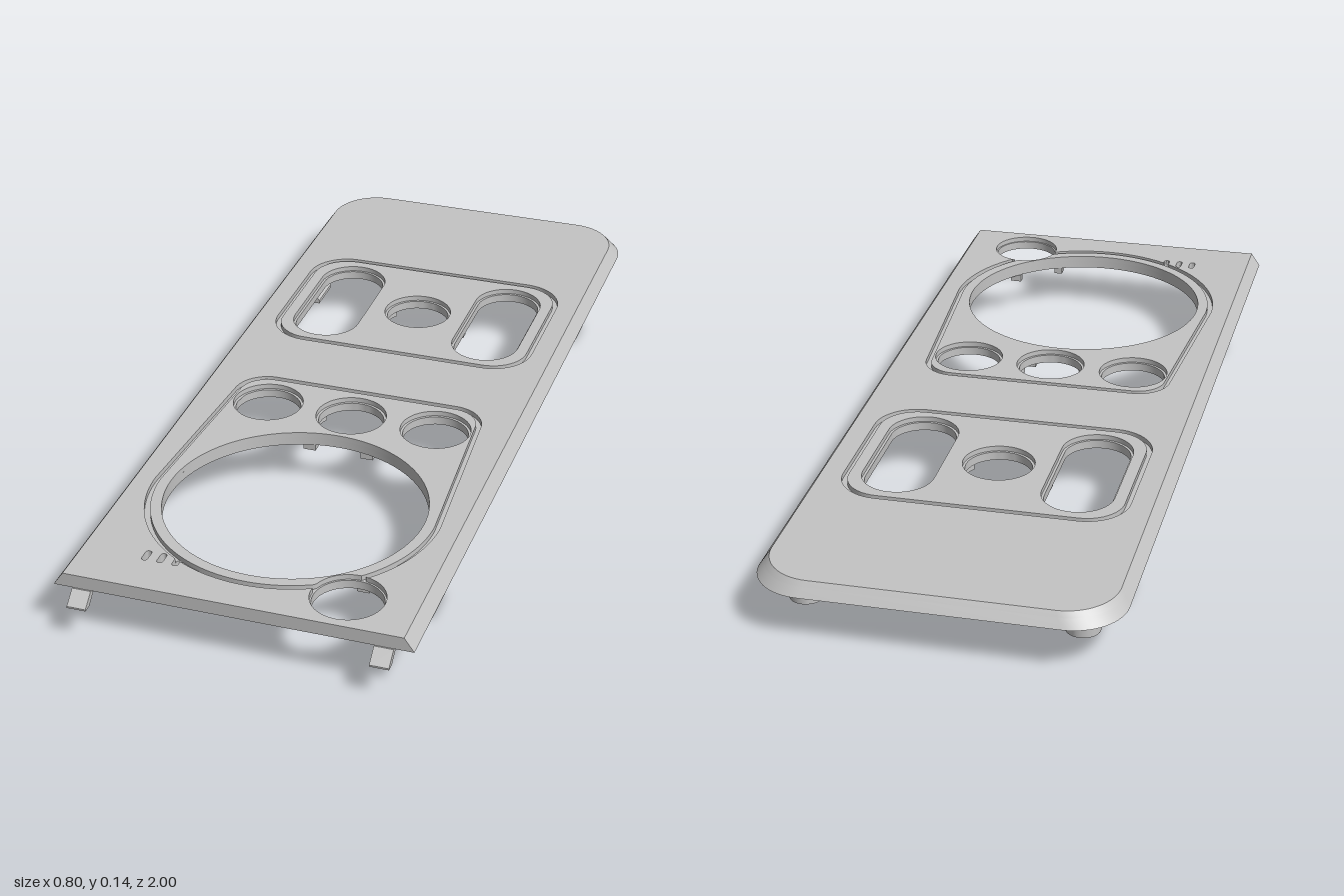
import * as THREE from 'three';
import { toCreasedNormals } from 'three/addons/utils/BufferGeometryUtils.js';

const Y0 = 0.11, Y1 = 0.13, Y2 = 0.142; // underside, groove floor, top face

// Points on an arc in plan (x, z), angle measured from +x towards +z
function arc(cx, cz, r, a0, a1, n = 12) {
  const pts = [];
  for (let i = 0; i <= n; i++) {
    const a = a0 + (a1 - a0) * i / n;
    pts.push([cx + r * Math.cos(a), cz + r * Math.sin(a)]);
  }
  return pts;
}
const circle = (cx, cz, r, n = 48) => arc(cx, cz, r, 0, Math.PI * 2, n).slice(0, -1);

function roundRect(cx, cz, hx, hz, r, n = 12) {
  const H = Math.PI / 2;
  return [[1, 1], [-1, 1], [-1, -1], [1, -1]].flatMap(([sx, sz], i) =>
    arc(cx + sx * (hx - r), cz + sz * (hz - r), r, i * H, (i + 1) * H, n));
}

// Plan outline with holes, extruded upward from y0 to y1
function slab(outline, holes, y0, y1) {
  const vec = pts => pts.map(([x, z]) => new THREE.Vector2(x, -z));
  const rim = vec(outline);
  // A counter-clockwise rim makes the hole walls face into the holes
  if (THREE.ShapeUtils.isClockWise(rim)) rim.reverse();
  const shape = new THREE.Shape(rim);
  shape.holes = holes.map(h => new THREE.Path(vec(h)));
  const g = new THREE.ExtrudeGeometry(shape, { depth: y1 - y0, bevelEnabled: false });
  g.rotateX(-Math.PI / 2);
  g.translate(0, y0, 0);
  return g;
}

// Slope the two sides and the rounded back edge inward with height
function taper(g) {
  const p = g.attributes.position;
  for (let i = 0; i < p.count; i++) {
    const x = p.getX(i), z = p.getZ(i), t = (p.getY(i) - Y0) / (Y2 - Y0);
    if (Math.abs(x) > 0.35 || z < -0.7) p.setX(i, x * (1 - 0.055 * t));
    if (z < -0.7) p.setZ(i, z + 0.022 * t);
  }
  return g;
}

// Corner hole that interrupts the lower groove
const CORNER = [0.225, 0.862];
function bite(pts, r, outward) {
  const [cx, cz] = CORNER;
  const inside = pts.map(([x, z]) => Math.hypot(x - cx, z - cz) < r);
  const i = inside.indexOf(true), j = inside.lastIndexOf(true);
  const angle = ([x, z]) => Math.atan2(z - cz, x - cx);
  const a0 = angle(pts[i]);
  let a1 = angle(pts[j]);
  if (a1 < a0) a1 += Math.PI * 2;
  if (!outward) a1 -= Math.PI * 2;
  return [...pts.slice(0, i), ...arc(cx, cz, r, a0, a1, 28), ...pts.slice(j + 1)];
}

// Indicator slit that runs out of the lower groove
function notch(pts) {
  const i = pts.findIndex(([x, z]) => z > 0.8 && x < -0.158);
  const j = pts.findIndex(([x, z]) => z > 0.8 && x < -0.172);
  return [...pts.slice(0, i),
    [-0.158, 0.848], [-0.158, 0.862], [-0.162, 0.866], [-0.168, 0.866], [-0.172, 0.862], [-0.172, 0.841],
    ...pts.slice(j)];
}

// Rounded lower control panel, inset by d
function lowerOutline(d) {
  const P = Math.PI;
  return [
    ...arc(0, 0.553, 0.335 - d, 0, P, 96),
    ...arc(-0.225, 0.124, 0.08 - d, P, P * 1.5),
    ...arc(0.225, 0.124, 0.08 - d, P * 1.5, P * 2),
  ];
}
const upperOutline = d => roundRect(0, -0.377, 0.33 - d, 0.225 - d, 0.1 - d);

export function createModel() {
  const model = new THREE.Group();
  const grey = new THREE.MeshStandardMaterial({ color: 0xc4c4c4 });
  grey.name = 'grey';

  function add(name, geometry) {
    const mesh = new THREE.Mesh(toCreasedNormals(geometry, 0.5), grey);
    mesh.name = name;
    model.add(mesh);
    return mesh;
  }
  function box(name, x, y0, y1, z, w, d) {
    add(name, new THREE.BoxGeometry(w, y1 - y0, d)).position.set(x, (y0 + y1) / 2, z);
  }

  // Plate outline: square front, rounded back corners
  const plate = [
    [0.402, 0.965], [-0.402, 0.965],
    ...arc(-0.282, -0.88, 0.12, Math.PI, Math.PI * 1.5, 16),
    ...arc(0.282, -0.88, 0.12, Math.PI * 1.5, Math.PI * 2, 16),
  ];

  // Openings; s widens them in the top layer to leave a small lip
  const upperHoles = s => [
    ...[-1, 1].map(k => roundRect(k * 0.207, -0.376, 0.077 + s, 0.183 + s, 0.077 + s)),
    circle(0, -0.377, 0.077 + s),
  ];
  const lowerHoles = s => [
    ...[-0.207, 0, 0.207].map(x => circle(x, 0.16, 0.077 + s)),
    circle(0, 0.553, 0.297, 96),
  ];
  const slit = x => roundRect(x, 0.848, 0.007, 0.018, 0.0065, 4);

  // Base layer forms the groove floors
  add('basePlate', taper(slab(plate, [
    ...upperHoles(0), ...lowerHoles(0), circle(...CORNER, 0.078),
    slit(-0.235), slit(-0.2), slit(-0.165),
  ], Y0, Y1)));

  // Top layer: surround and two inlaid panels, separated by grooves
  const R = 0.082, GROOVE = 0.013, LIP = 0.006;
  add('topSurround', taper(slab(plate, [
    upperOutline(0), notch(bite(lowerOutline(0), R, true)), slit(-0.235), slit(-0.2),
  ], Y1, Y2)));
  add('upperPanel', slab(upperOutline(GROOVE), upperHoles(LIP), Y1, Y2));
  add('lowerPanel', slab(bite(lowerOutline(GROOVE), R, false), lowerHoles(LIP), Y1, Y2));

  // Profile in x, y extruded along z, centred on z
  function profileZ(name, pts, z, depth) {
    const g = new THREE.ExtrudeGeometry(
      new THREE.Shape(pts.map(p => new THREE.Vector2(...p))), { depth, bevelEnabled: false });
    g.translate(0, 0, z - depth / 2);
    add(name, g);
  }

  for (const s of [-1, 1]) {
    // Side clips with inward hooks
    for (const z of [0.643, -0.638]) {
      profileZ('sideClip', [
        [0.36, Y0], [0.36, 0], [0.338, 0], [0.338, 0.009], [0.346, 0.018], [0.346, Y0],
      ].map(([x, y]) => [s * x, y]), z, 0.095);
    }

    // Sloping front locating tab, profile in z, y
    const tab = new THREE.ExtrudeGeometry(new THREE.Shape([
      [0.945, Y0], [0.968, Y0], [1, 0.084], [1, 0.08], [0.98, 0.08],
    ].map(([z, y]) => new THREE.Vector2(-z, y))), { depth: 0.043, bevelEnabled: false });
    tab.rotateY(Math.PI / 2);
    tab.translate(s * 0.337 - 0.0215, 0, 0);
    add('frontTab', tab);

    // Hollow screw posts and locating blades at the back
    add('screwPost', slab(circle(s * 0.302, -0.872, 0.038, 32),
      [circle(s * 0.302, -0.872, 0.014, 20)], 0.04, Y0));
    box('rearBlade', s * 0.097, 0.018, Y0, -0.84, 0.093, 0.018);

    // Curved guide ribs beside the two centre holes
    for (const [z, half] of [[-0.377, 0.6], [0.16, 0.5]]) {
      const mid = s > 0 ? 0 : Math.PI;
      add('guideRib', slab([
        ...arc(0, z, 0.1, mid - half, mid + half),
        ...arc(0, z, 0.084, mid + half, mid - half),
      ], [], 0.093, Y0));
      box('guideRibNub', s * 0.111, 0.093, Y0, z, 0.026, 0.022);
    }
    box('smallStop', s * 0.07, 0.093, Y0, 0.247, 0.03, 0.024);
  }

  // Stops around the corner hole
  box('cornerStop', 0.228, 0.093, Y0, 0.76, 0.028, 0.02);
  box('cornerStop', 0.128, 0.093, Y0, 0.84, 0.02, 0.028);

  return model;
}
